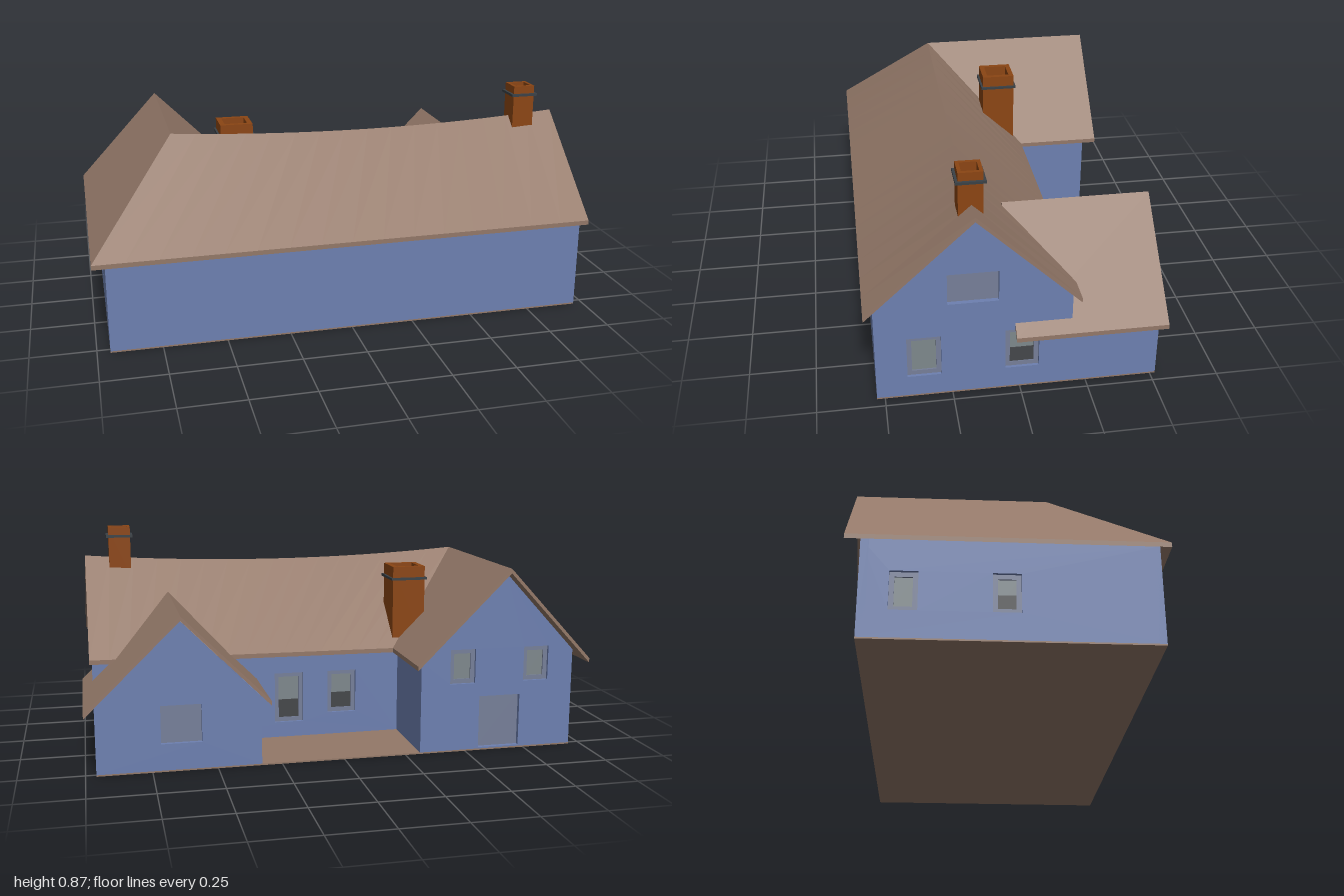
import * as THREE from 'three';

const mat = (name, color, side = THREE.FrontSide) => {
  const m = new THREE.MeshStandardMaterial({ color, side });
  m.name = name;
  return m;
};

export function createModel() {
  const house = new THREE.Group();
  house.name = 'house';
  const wallMat = mat('blue wall', 0x6d80b0);
  const roofMat = mat('brown roof', 0x937868);
  const brickMat = mat('chimney brick', 0x8b4513);
  const bandMat = mat('dark band', 0x3a4146);
  const frameMat = mat('grey blue frame', 0x767f99);
  const glassMat = mat('grey glass', 0x7e888c);
  const darkMat = mat('dark interior', 0x45474a);

  const add = (parent, name, geo, material, x = 0, y = 0, z = 0) => {
    const m = new THREE.Mesh(geo, material);
    m.name = name;
    m.position.set(x, y, z);
    parent.add(m);
    return m;
  };
  const rectPath = (Type, u0, u1, y0, y1) =>
    new Type([[u0, y0], [u1, y0], [u1, y1], [u0, y1]].map(p => new THREE.Vector2(...p)));
  const ring = (u0, u1, y0, y1, border, depth) => {
    const s = rectPath(THREE.Shape, u0, u1, y0, y1);
    s.holes.push(rectPath(THREE.Path, u0 + border, u1 - border, y0 + border, y1 - border));
    return new THREE.ExtrudeGeometry(s, { depth, bevelEnabled: false });
  };

  // Wall panel: outline in (u, y), outer face at distance dist along its facing direction.
  // Each window is [u0, u1, y0, y1, kind], kind: 'framed', 'plain', 'open' (dark lower half)
  const T = 0.03;
  const wall = (name, turn, dist, outline, windows = []) => {
    const g = new THREE.Group();
    g.name = name;
    g.rotation.y = turn;
    g.position.set(Math.sin(turn) * dist, 0, Math.cos(turn) * dist);
    const shape = new THREE.Shape(outline.map(p => new THREE.Vector2(...p)));
    for (const [u0, u1, y0, y1] of windows) shape.holes.push(rectPath(THREE.Path, u0, u1, y0, y1));
    add(g, 'wallPanel', new THREE.ExtrudeGeometry(shape, { depth: T, bevelEnabled: false }), wallMat, 0, 0, -T);
    for (const [u0, u1, y0, y1, kind] of windows) {
      const w = u1 - u0, h = y1 - y0, cu = (u0 + u1) / 2, cy = (y0 + y1) / 2;
      add(g, 'windowPane', new THREE.BoxGeometry(w, h, 0.006), kind === 'plain' ? frameMat : glassMat, cu, cy, -0.02);
      if (kind === 'plain') continue;
      add(g, 'windowFrame', ring(u0, u1, y0, y1, 0.018, 0.006), frameMat, 0, 0, -0.017);
      if (kind === 'open')
        add(g, 'windowShadow', new THREE.BoxGeometry(w - 0.036, h * 0.36, 0.004), darkMat, cu, y0 + 0.018 + h * 0.18, -0.016);
    }
    house.add(g);
  };
  const B = 0.006; // wall foot, on top of the floor
  const box = (u0, u1, h) => [[u0, B], [u1, B], [u1, h], [u0, h]];
  const R = Math.PI / 2;

  // Main walls
  wall('frontWall', 0, 0.53, box(-0.95, 0.96, 0.385));
  wall('leftGableWall', R, 0.96,
    [[-0.53, B], [0.52, B], [0.52, 0.265], [0.19, 0.265], [0.19, 0.395], [-0.165, 0.73], [-0.53, 0.39]], [
      [-0.415, -0.29, 0.09, 0.26, 'framed'],
      [-0.055, 0.07, 0.09, 0.26, 'open'],
      [-0.265, -0.08, 0.395, 0.52, 'plain'],
    ]);
  wall('rightWall', -R, 0.95, box(-0.52, 0.53, 0.385), [
    [-0.415, -0.315, 0.11, 0.26, 'framed'],
    [-0.06, 0.04, 0.11, 0.26, 'open'],
  ]);
  wall('courtyardWall', 2 * R, 0.19, box(-0.96, 0.31, 0.39), [
    [-0.22, -0.1, 0.07, 0.28, 'open'],
    [0.006, 0.126, 0.1, 0.28, 'open'],
  ]);

  // Rear wings
  wall('tallWingGable', 2 * R, 0.52,
    [[0.31, B], [0.95, B], [0.95, 0.4], [0.655, 0.72], [0.31, 0.375]], [
      [0.43, 0.535, 0.28, 0.42, 'framed'],
      [0.74, 0.845, 0.28, 0.42, 'framed'],
      [0.555, 0.727, 0.012, 0.225, 'plain'],
    ]);
  wall('tallWingInnerWall', R, -0.31, box(0.19, 0.52, 0.375));
  wall('lowWingGable', 2 * R, 0.52,
    [[-0.96, B], [-0.33, B], [-0.33, 0.27], [-0.635, 0.58], [-0.96, 0.265]],
    [[-0.716, -0.56, 0.11, 0.26, 'plain']]);
  wall('lowWingInnerWall', -R, -0.33, box(-0.52, -0.19, 0.27));

  // Floor, also paving the courtyard
  add(house, 'floor', new THREE.BoxGeometry(1.91, B, 1.05), roofMat, 0.005, B / 2, 0.005);

  // Roof slab between two rows of points, thickened downwards
  const V = (...p) => new THREE.Vector3(...p);
  const row = (p, q, n = 1, sag = 0) => Array.from({ length: n + 1 }, (_, i) => {
    const t = i / n;
    return V(...p).lerp(V(...q), t).add(V(0, -sag * 4 * t * (1 - t), 0));
  });
  const slab = (name, a, b, thick = 0.018) => {
    const n = a.length - 1;
    const up = a[n].clone().sub(a[0]).cross(b[n].clone().sub(a[0])).y;
    if (up < 0) [a, b] = [b, a];
    const low = p => V(p.x, p.y - thick, p.z);
    const pos = [];
    const quad = (p, q, r, s) => [p, q, r, p, r, s].forEach(v => pos.push(v.x, v.y, v.z));
    for (let i = 0; i < n; i++) {
      quad(a[i], a[i + 1], b[i + 1], b[i]);
      quad(low(b[i]), low(b[i + 1]), low(a[i + 1]), low(a[i]));
    }
    const rim = [...a, ...b.slice().reverse()];
    rim.forEach((p, i) => {
      const q = rim[(i + 1) % rim.length];
      quad(low(p), low(q), q, p);
    });
    const geo = new THREE.BufferGeometry();
    geo.setAttribute('position', new THREE.Float32BufferAttribute(pos, 3));
    geo.computeVertexNormals();
    add(house, name, geo, roofMat);
  };

  // Main roof with a sagging ridge
  const hip = [-0.655, 0.745, 0.165], ridgeEnd = [0.97, 0.75, 0.165];
  const corner = [-1, 0.372, 0.56];
  const N = 16;
  slab('mainRoofFront', row(corner, [0.98, 0.382, 0.565], N), row(hip, ridgeEnd, N, 0.033));
  slab('mainRoofRear', row([-0.28, 0.372, -0.222], [0.97, 0.38, -0.222], N), row(hip, ridgeEnd, N, 0.033));

  // Tall wing roof, hipped into the main roof
  const tallEnd = [-0.655, 0.745, -0.57];
  slab('tallWingRoofOuter', row(corner, [-1, 0.372, -0.572]), row(hip, tallEnd));
  slab('tallWingRoofInner', row([-0.28, 0.372, -0.222], [-0.28, 0.372, -0.57]), row(hip, tallEnd));

  // Low wing roof
  const lowRidge = () => row([0.635, 0.605, 0.02], [0.635, 0.605, -0.545]);
  slab('lowWingRoofOuter', row([1, 0.25, 0.02], [1, 0.25, -0.545]), lowRidge());
  slab('lowWingRoofInner', row([0.295, 0.262, 0.02], [0.295, 0.262, -0.545]), lowRidge());

  // Hollow chimneys with a dark band
  const chimney = (name, x, z, size, y0, y1, band, bandSize) => {
    const g = new THREE.Group();
    g.name = name;
    g.position.set(x, 0, z);
    const tube = (s, border, h) => ring(-s / 2, s / 2, -s / 2, s / 2, border, h).rotateX(-R);
    add(g, 'chimneyStack', tube(size, size * 0.15, y1 - y0), brickMat, 0, y0, 0);
    add(g, 'chimneyBand', tube(bandSize, (bandSize - size) / 2 + 0.004, 0.01), bandMat, 0, band, 0);
    house.add(g);
  };
  chimney('largeChimney', -0.357, -0.115, 0.138, 0.38, 0.71, 0.654, 0.155);
  chimney('smallChimney', 0.825, 0.1675, 0.09, 0.66, 0.87, 0.828, 0.11);

  return house;
}
